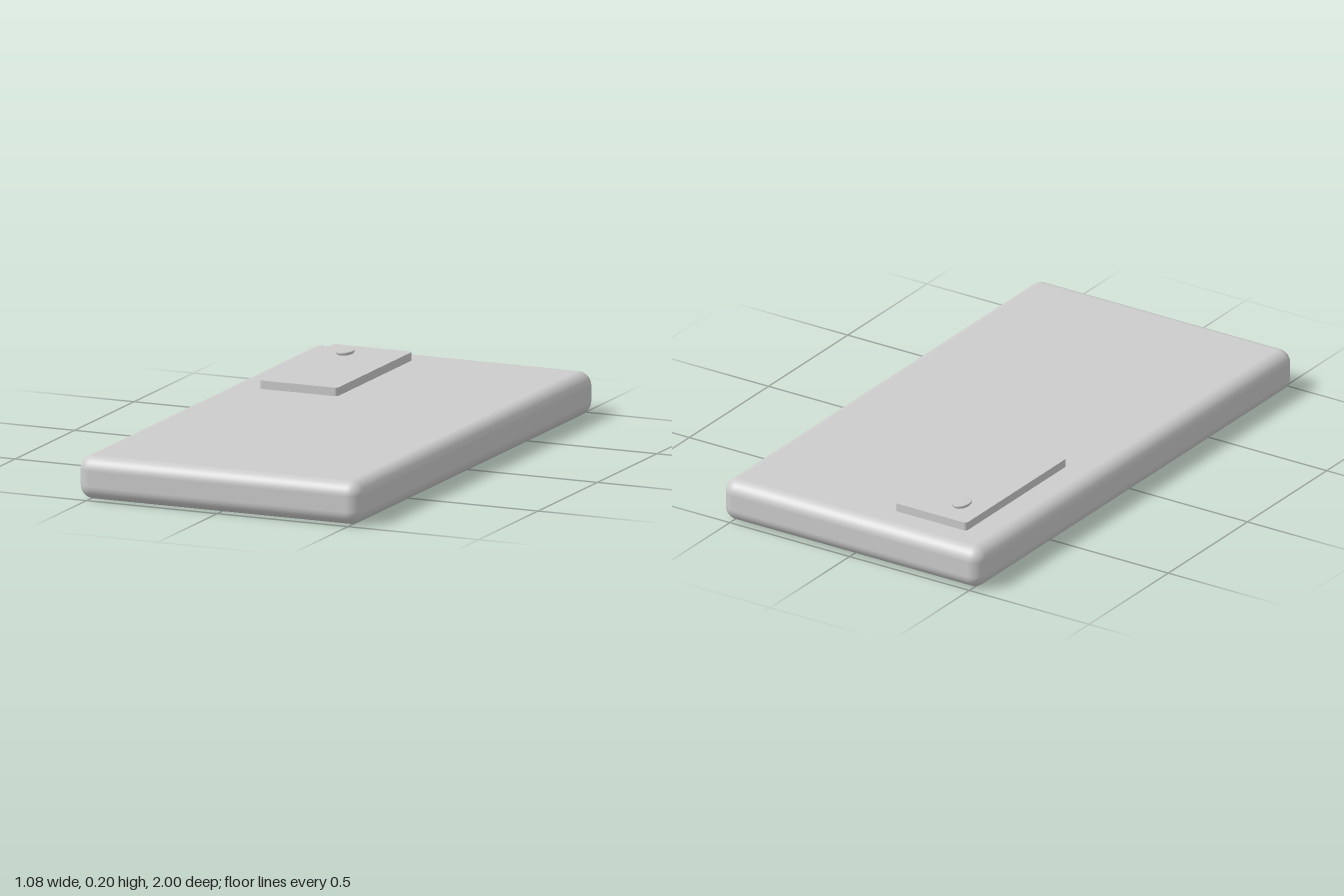
import * as THREE from 'three';
import { RoundedBoxGeometry } from 'three/addons/geometries/RoundedBoxGeometry.js';

export function createModel() {
  const model = new THREE.Group();
  model.name = 'phone';
  const grey = new THREE.MeshStandardMaterial({ color: 0xcccccc });
  grey.name = 'light grey';

  function add(name, geometry, x, y, z) {
    const mesh = new THREE.Mesh(geometry, grey);
    mesh.name = name;
    mesh.position.set(x, y, z);
    model.add(mesh);
    return mesh;
  }

  // Slab body with softly rounded edges
  const height = 0.155;
  add('body', new RoundedBoxGeometry(1.08, height, 2, 6, 0.05), 0, height / 2, 0);

  // Camera plate: rounded rectangle, sunk slightly into the body
  const w = 0.15, d = 0.317, r = 0.012;
  const outline = new THREE.Shape();
  outline.absarc(w - r, d - r, r, 0, Math.PI / 2);
  outline.absarc(-w + r, d - r, r, Math.PI / 2, Math.PI);
  outline.absarc(-w + r, -d + r, r, Math.PI, Math.PI * 1.5);
  outline.absarc(w - r, -d + r, r, Math.PI * 1.5, Math.PI * 2);
  const plate = new THREE.ExtrudeGeometry(outline, { depth: 0.04, bevelEnabled: false, curveSegments: 4 });
  plate.rotateX(-Math.PI / 2);
  add('cameraPlate', plate, -0.255, 0.145, -0.558);

  // Oval lens, its wall rising from the plate to a chamfered rim
  const profile = [[0.9, -0.005], [0.9, 0.003], [1, 0.005], [1, 0.01], [0.94, 0.012], [0, 0.012]];
  const points = profile.map(([radius, y]) => new THREE.Vector2(radius, y));
  const lens = add('lens', new THREE.LatheGeometry(points, 32), -0.308, 0.185, -0.755);
  lens.scale.set(0.03, 1, 0.044);

  return model;
}
